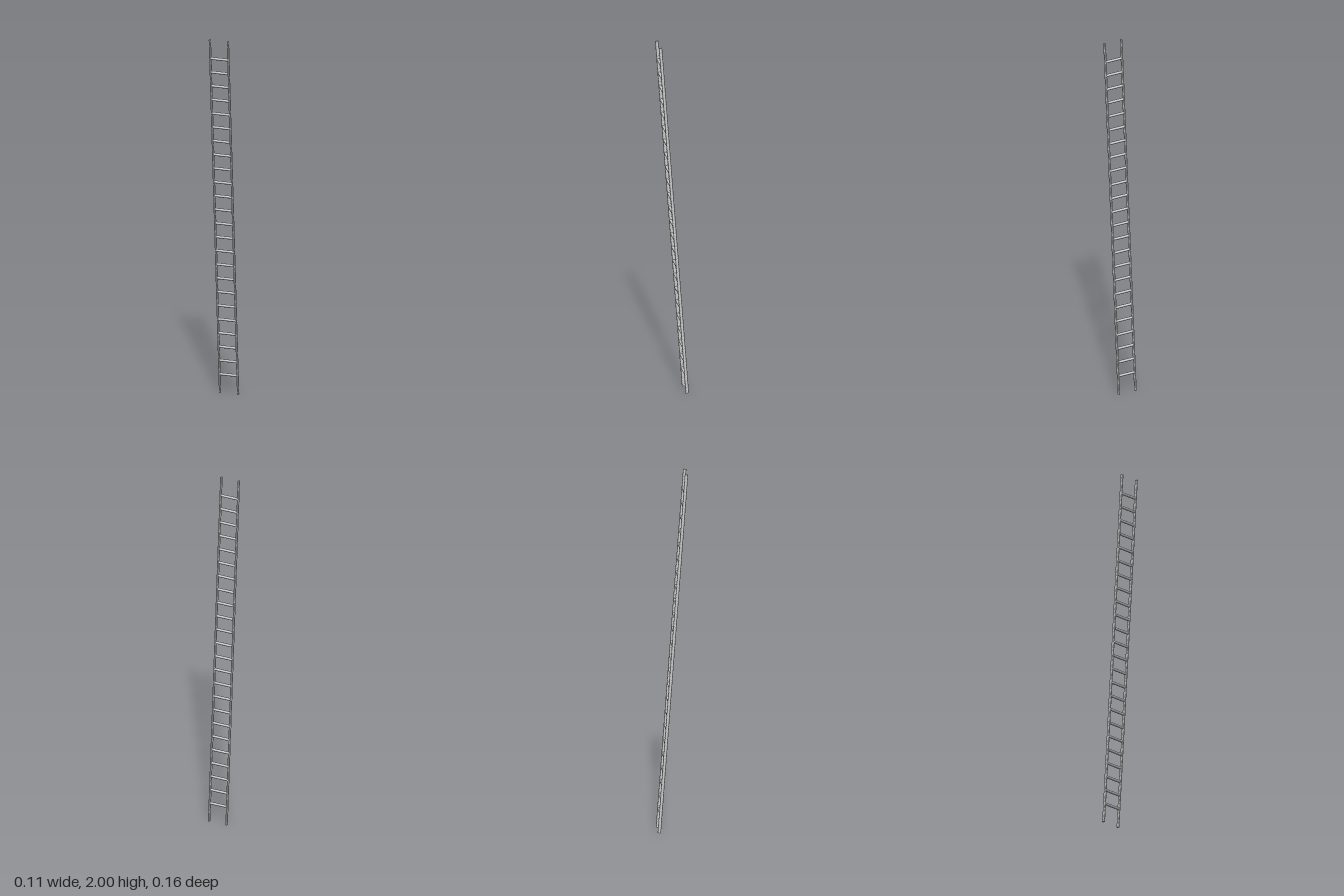
import * as THREE from 'three';

const LEAN = 0.073;            // forward tilt in radians
const LENGTH = 2.004;          // rail length along the tilt
const RAIL_X = 0.052, RAIL_W = 0.009, RAIL_D = 0.018;
const RUNGS = 24, RUNG_R = 0.0073, RUNG_STEP = 0.0779;

// Rail with a round-edged cross-section, centred on its length
function railGeometry() {
  const r = RAIL_W / 2, h = RAIL_D / 2 - r;
  const section = new THREE.Shape();
  section.absarc(0, h, r, 0, Math.PI, false);
  section.absarc(0, -h, r, Math.PI, Math.PI * 2, false);
  section.closePath();
  const geo = new THREE.ExtrudeGeometry(section, { depth: LENGTH, bevelEnabled: false, curveSegments: 6 });
  geo.translate(0, 0, -LENGTH / 2);
  geo.rotateX(-Math.PI / 2);
  return geo;
}

export function createModel() {
  const model = new THREE.Group();
  model.name = 'ladder';
  const material = new THREE.MeshStandardMaterial({ color: 0xcccccc });

  const frame = new THREE.Group();
  frame.name = 'leaningFrame';
  frame.position.y = 1;
  frame.rotation.x = LEAN;
  model.add(frame);

  // Side rails
  const railGeo = railGeometry();
  for (const [name, side] of [['leftRail', 1], ['rightRail', -1]]) {
    const rail = new THREE.Mesh(railGeo, material);
    rail.name = name;
    rail.position.x = side * RAIL_X;
    frame.add(rail);
  }

  // Evenly spaced round rungs, ends set into the rails
  const rungGeo = new THREE.CylinderGeometry(RUNG_R, RUNG_R, RAIL_X * 2, 12);
  rungGeo.rotateZ(Math.PI / 2);
  for (let i = 0; i < RUNGS; i++) {
    const rung = new THREE.Mesh(rungGeo, material);
    rung.name = `rung${i + 1}`;
    rung.position.y = (i - (RUNGS - 1) / 2) * RUNG_STEP;
    frame.add(rung);
  }
  return model;
}
